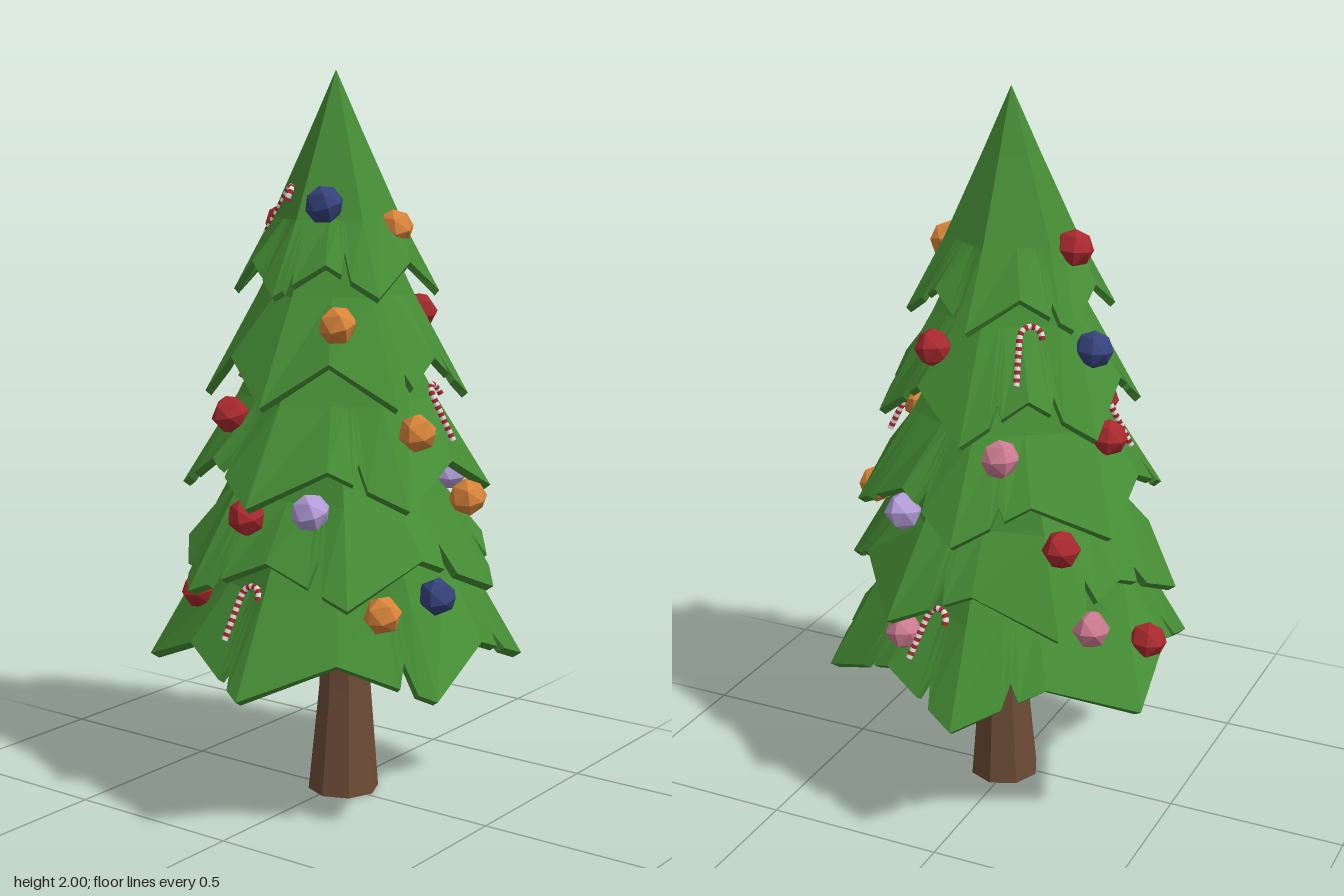
import * as THREE from 'three';

const mat = (name, color) => {
  const m = new THREE.MeshStandardMaterial({ color });
  m.name = name;
  return m;
};

export function createModel() {
  const tree = new THREE.Group();
  tree.name = 'decoratedTree';
  const M = {
    green: mat('needleGreen', 0x458c34),
    brown: mat('barkBrown', 0x6d4b36),
    red: mat('baubleRed', 0xa8292e),
    blue: mat('baubleBlue', 0x36427c),
    orange: mat('baubleOrange', 0xd8843a),
    lilac: mat('baubleLilac', 0xb39cd8),
    pink: mat('baublePink', 0xcc7a90),
    white: mat('candyWhite', 0xe8e2e2),
  };
  const add = (name, geo, material, parent = tree) => {
    const mesh = new THREE.Mesh(geo, material);
    mesh.name = name;
    parent.add(mesh);
    return mesh;
  };
  let seed = 7;
  const rand = () => (seed = (seed * 16807) % 2147483647) / 2147483647;

  // Branch skirt: a hollow six-pointed cone with a thin rim and small cuts in its edge.
  // rings: [radius, y] from the top to the points; valleyY: edge height between points.
  function skirtGeometry(rings, valleyY, turn) {
    const pos = [];
    const quad = (a, b, c, d) => {
      for (const p of [d, c, b, d, b, a]) pos.push(p.x, p.y, p.z);
    };
    const inner = (p) => new THREE.Vector3(p.x * 0.955, p.y - 0.014, p.z * 0.955);
    const corner = (ring, k) => {
      const last = ring === rings.length - 1, valley = k % 2;
      const a = THREE.MathUtils.degToRad(turn + k * 30);
      const r = rings[ring][0] * (valley ? 0.866 : 1);
      const y = last && valley ? valleyY : rings[ring][1];
      return new THREE.Vector3(Math.sin(a) * r, y, Math.cos(a) * r);
    };
    const last = rings.length - 1;
    for (let k = 0; k < 12; k++) {
      for (let j = 0; j < last - 1; j++) {
        const [a, b, c, d] = [corner(j, k), corner(j, k + 1), corner(j + 1, k + 1), corner(j + 1, k)];
        quad(a, b, c, d);
        quad(inner(b), inner(a), inner(d), inner(c));
      }
      // Columns of the lowest band, [position, cut depth]
      const t = 0.3 + 0.45 * rand(), cut = 0.04 + 0.05 * rand();
      const columns = rand() < 0.6
        ? [[0, 0], [t - 0.1, 0], [t, cut], [t + 0.08, 0], [1, 0]]
        : [[0, 0], [1, 0]];
      const pts = columns.map(([s, depth]) => {
        const top = corner(last - 1, k).lerp(corner(last - 1, k + 1), s);
        const low = corner(last, k).lerp(corner(last, k + 1), s);
        low.lerp(top, depth / low.distanceTo(top));
        return [top, low];
      });
      for (let i = 0; i < pts.length - 1; i++) {
        const [a, d] = pts[i], [b, c] = pts[i + 1];
        quad(a, b, c, d);
        quad(inner(b), inner(a), inner(d), inner(c));
        quad(d, c, inner(c), inner(d));
      }
    }
    const geo = new THREE.BufferGeometry();
    geo.setAttribute('position', new THREE.Float32BufferAttribute(pos, 3));
    geo.computeVertexNormals();
    return geo;
  }

  // Five tiers of branches, top to bottom
  [
    [[[0, 2], [0.075, 1.83], [0.175, 1.61], [0.28, 1.415]], 1.5, 0],
    [[[0.1, 1.64], [0.21, 1.41], [0.36, 1.135]], 1.25, 3],
    [[[0.16, 1.34], [0.27, 1.13], [0.425, 0.88]], 0.98, 3],
    [[[0.21, 1.1], [0.33, 0.88], [0.47, 0.64]], 0.74, 40],
    [[[0.27, 0.85], [0.38, 0.64], [0.52, 0.394]], 0.49, 6.7],
  ].forEach(([rings, valleyY, turn], i) =>
    add(`branchTier${i + 1}`, skirtGeometry(rings, valleyY, turn), M.green));

  // Trunk: eight sides, flared foot, leaning a little towards the middle
  const trunk = new THREE.CylinderGeometry(0.05, 0.1, 0.9, 8, 3).translate(0, 0.45, 0);
  const tp = trunk.attributes.position;
  const trunkRings = [[0, 0.1, 0.015, -0.015], [0.3, 0.073, 0.015, -0.022],
    [0.6, 0.06, 0.01, -0.02], [0.9, 0.045, 0, 0]];
  for (let i = 0; i < tp.count; i++) {
    const [y, r, cx, cz] = trunkRings[Math.round(tp.getY(i) / 0.3)];
    const len = Math.hypot(tp.getX(i), tp.getZ(i));
    const s = len > 1e-4 ? r / len : 0;
    tp.setXYZ(i, tp.getX(i) * s + cx, y, tp.getZ(i) * s + cz);
  }
  const trunkFlat = trunk.toNonIndexed();
  trunkFlat.computeVertexNormals();
  add('trunk', trunkFlat, M.brown);

  // Baubles: faceted balls at [x, y, z]
  const ball = new THREE.OctahedronGeometry(0.052, 1);
  ball.computeVertexNormals();
  const baubles = {
    red: [[-0.18, 1.59, 0], [0.12, 1.345, -0.225], [-0.29, 1.085, -0.01], [-0.16, 1.09, 0.26],
      [-0.035, 0.84, 0.35], [-0.26, 0.85, -0.25], [-0.43, 0.525, -0.04], [-0.25, 0.6, 0.29]],
    blue: [[0.065, 1.65, 0.14], [-0.255, 1.335, -0.035], [0.38, 0.63, 0.065]],
    orange: [[0.16, 1.585, -0.045], [0.16, 1.345, 0.21], [0.33, 1.065, 0.09],
      [0.37, 0.87, -0.095], [0.32, 0.605, 0.23]],
    lilac: [[0.15, 0.87, 0.315], [0.19, 0.89, -0.28]],
    pink: [[-0.1, 1.09, -0.285], [-0.335, 0.62, -0.22], [0.15, 0.58, -0.365]],
  };
  for (const [color, places] of Object.entries(baubles))
    for (const p of places) {
      const b = add(`${color}Bauble`, ball, M[color]);
      b.position.set(...p);
      b.rotation.set(0.2, Math.atan2(p[0], p[2]) + 0.4, 0.15);
    }

  // Candy canes: striped hooks lying on the branches
  const hook = new THREE.CurvePath();
  hook.add(new THREE.LineCurve3(new THREE.Vector3(-0.03, -0.08, 0), new THREE.Vector3(-0.03, 0.045, 0)));
  const bend = [];
  for (let i = 0; i <= 6; i++) {
    const a = Math.PI * (1 - i / 6);
    bend.push(new THREE.Vector3(Math.cos(a) * 0.03, 0.045 + Math.sin(a) * 0.033, 0));
  }
  hook.add(new THREE.CatmullRomCurve3(bend));
  const sides = 6, steps = 22;
  const cane = new THREE.TubeGeometry(hook, steps, 0.0085, sides);
  for (let i = 0; i < steps; i++) cane.addGroup(i * sides * 6, sides * 6, i % 2);
  // [x, y, z, roll]
  [
    [-0.11, 1.625, 0.11, -0.3], [-0.01, 0.59, 0.395, -0.1], [0.305, 1.1, -0.075, 0.05],
    [-0.145, 1.35, -0.2, -0.15], [-0.29, 1.12, 0.07, 0.1], [0.055, 0.6, -0.4, -0.2],
  ].forEach(([x, y, z, roll]) => {
    const holder = new THREE.Group();
    holder.name = 'candyCane';
    holder.position.set(x, y, z);
    holder.rotation.set(-0.45, Math.atan2(x, z), roll, 'YXZ');
    add('stripedHook', cane, [M.white, M.red], holder);
    tree.add(holder);
  });

  return tree;
}
